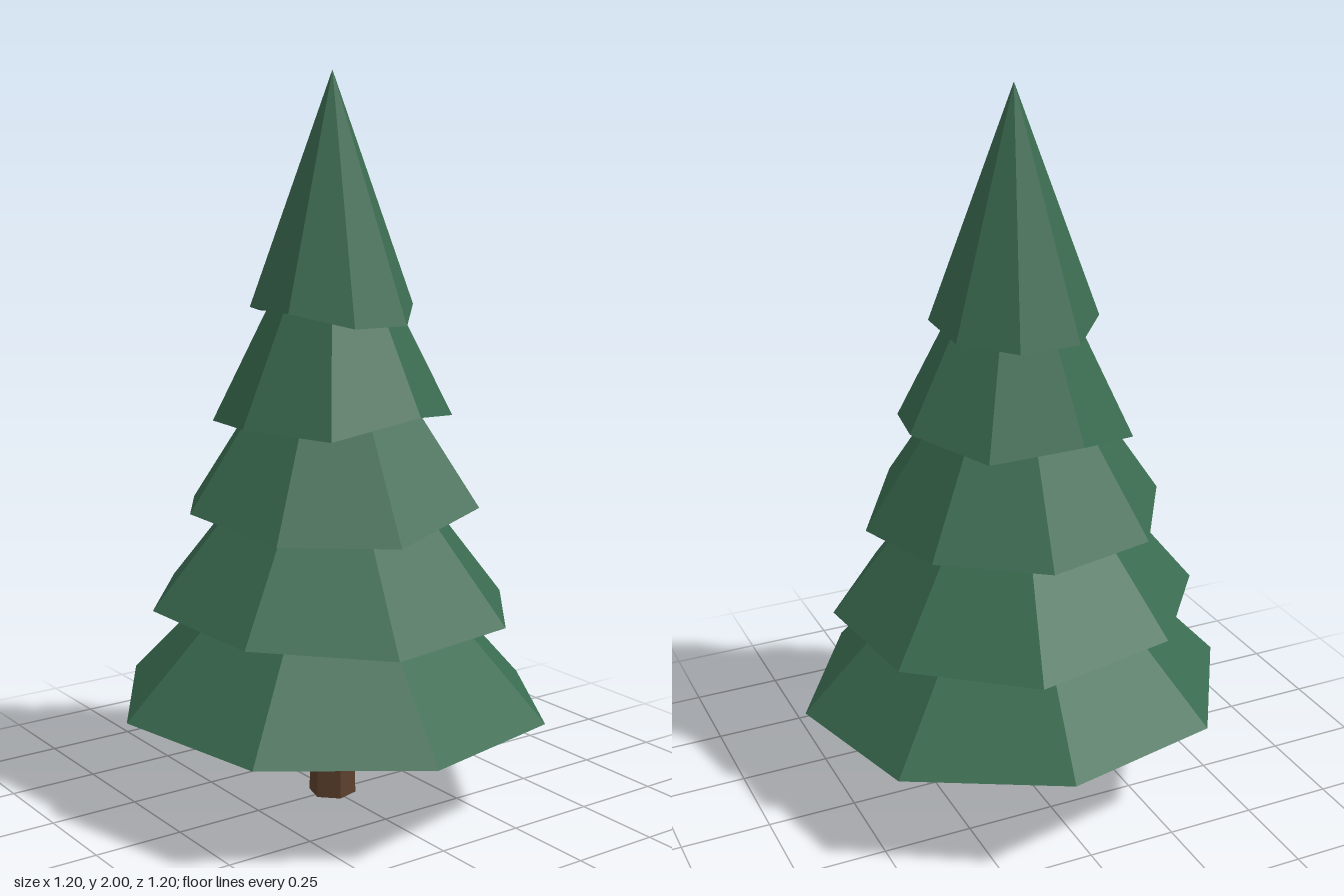
import * as THREE from 'three';

const rad = THREE.MathUtils.degToRad;

// One eight-sided bough: a closed cone whose rim corners sit at uneven heights.
// rim lists corner heights, starting at angle `turn` (from +x towards +z).
function boughGeometry(radius, turn, apex, rim) {
  const geo = new THREE.ConeGeometry(radius, 1, 8, 1, false, Math.PI / 2 - rad(turn));
  const mean = rim.reduce((a, b) => a + b, 0) / rim.length;
  const p = geo.attributes.position;
  for (let i = 0; i < p.count; i++) {
    if (p.getY(i) > 0) {
      p.setY(i, apex);
    } else if (Math.hypot(p.getX(i), p.getZ(i)) < 0.001) {
      p.setY(i, mean);
    } else {
      const step = (Math.atan2(p.getZ(i), p.getX(i)) - rad(turn)) / (Math.PI / 4);
      p.setY(i, rim[(Math.round(step) + 16) % 8]);
    }
  }
  geo.computeVertexNormals();
  return geo;
}

export function createModel() {
  const tree = new THREE.Group();
  tree.name = 'pineTree';

  const needles = new THREE.MeshStandardMaterial({ color: 0x3a6b50, flatShading: true });
  needles.name = 'needle green';
  const bark = new THREE.MeshStandardMaterial({ color: 0x5c402c, flatShading: true });
  bark.name = 'bark brown';

  // Six-sided trunk, slightly tapered, reaching into the lowest bough
  const trunk = new THREE.Mesh(
    new THREE.CylinderGeometry(0.058, 0.066, 0.36, 6, 1, false, rad(75)), bark);
  trunk.position.y = 0.18;
  trunk.name = 'trunk';
  tree.add(trunk);

  // Boughs from bottom to top: radius, turn, apex height, rim heights
  const boughs = [
    [0.607, 9.4, 0.93, [0.276, 0.285, 0.297, 0.304, 0.308, 0.285, 0.265, 0.27]],
    [0.51, 16, 1.195, [0.537, 0.558, 0.578, 0.576, 0.546, 0.545, 0.541, 0.546]],
    [0.416, 10.2, 1.46, [0.801, 0.809, 0.846, 0.825, 0.822, 0.83, 0.806, 0.855]],
    [0.326, -9.2, 1.73, [1.114, 1.066, 1.082, 1.066, 1.119, 1.09, 1.119, 1.082]],
    [0.227, 20.5, 2.0, [1.342, 1.379, 1.383, 1.354, 1.354, 1.365, 1.379, 1.338]],
  ];
  boughs.forEach(([radius, turn, apex, rim], i) => {
    const bough = new THREE.Mesh(boughGeometry(radius, turn, apex, rim), needles);
    bough.name = `bough${i + 1}`;
    tree.add(bough);
  });

  return tree;
}
